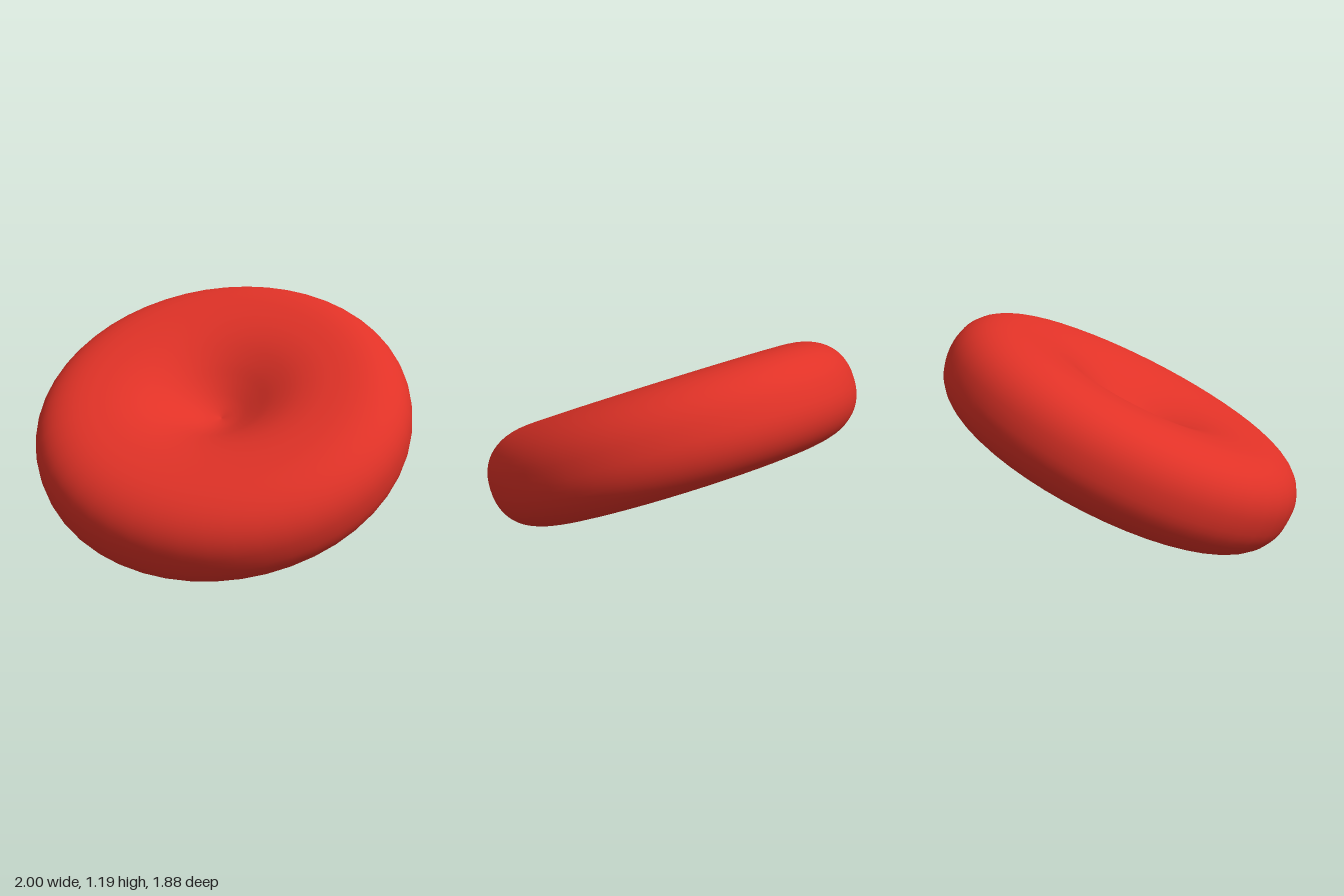
import * as THREE from 'three';

export function createModel() {
  const group = new THREE.Group();
  group.name = 'bloodCell';
  const red = new THREE.MeshStandardMaterial({ color: 0xe03227 });
  red.name = 'cell red';

  // Half profile: pinched dimple swelling out to the crest of the rim
  const crest = 0.685, rimDepth = 0.32, half = 0.27;
  const dimple = new THREE.SplineCurve([
    [0, 0.025], [0.1, 0.055], [0.2, 0.11], [0.3, 0.172], [0.42, 0.228], [0.55, 0.26], [crest, half],
  ].map(([x, y]) => new THREE.Vector2(x, y)));
  const upper = dimple.getPoints(18);
  upper[0].x = 0;

  // Rounded, slightly squared outer rim down to the equator
  const power = 2 / 2.3, steps = 14;
  for (let i = 1; i <= steps; i++) {
    const a = (i / steps) * Math.PI / 2;
    upper.push(new THREE.Vector2(
      crest + rimDepth * Math.sin(a) ** power,
      i === steps ? 0 : half * Math.cos(a) ** power,
    ));
  }

  // Mirror the profile so both faces are dimpled; run from bottom to top
  const lower = upper.slice(0, -1).map((p) => new THREE.Vector2(p.x, -p.y));
  const profile = [...lower, ...upper.reverse()];

  const cell = new THREE.Mesh(new THREE.LatheGeometry(profile, 48), red);
  cell.name = 'biconcaveDisc';

  // Tilt the disc toward the front and slightly to its left
  const axis = new THREE.Vector3(0.13, 0.895, 0.427).normalize();
  cell.quaternion.setFromUnitVectors(new THREE.Vector3(0, 1, 0), axis);
  cell.position.y = 0.6;
  group.add(cell);
  return group;
}
